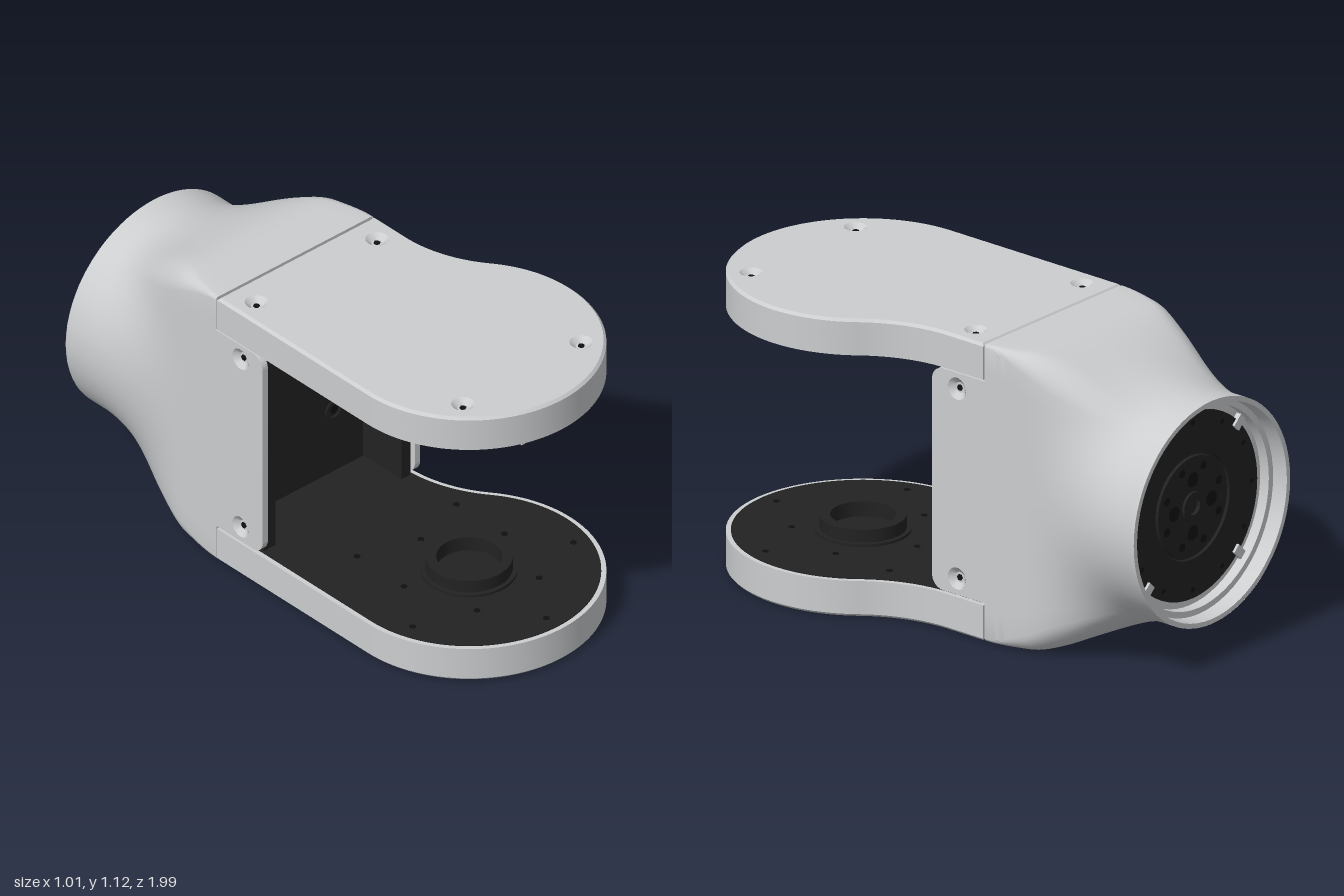
import * as THREE from 'three';
import { toCreasedNormals } from 'three/addons/utils/BufferGeometryUtils.js';

const mat = (name, color, side = THREE.FrontSide) => {
  const m = new THREE.MeshStandardMaterial({ color, side });
  m.name = name;
  return m;
};

export function createModel() {
  const root = new THREE.Group();
  root.name = 'yokeJoint';
  const grey = mat('light grey casing', 0xcbcdcf);
  const greyOpen = mat('light grey open surface', 0xcbcdcf, THREE.DoubleSide);
  const black = mat('black insert', 0x222222, THREE.DoubleSide);
  const hole = mat('deep black hole', 0x101010, THREE.DoubleSide);

  const add = (name, geo, material, x = 0, y = 0, z = 0, parent = root) => {
    const m = new THREE.Mesh(geo, material);
    m.name = name;
    m.position.set(x, y, z);
    parent.add(m);
    return m;
  };
  // box given by its two opposite corners
  const block = (name, material, a, b) => add(name,
    new THREE.BoxGeometry(b[0] - a[0], b[1] - a[1], b[2] - a[2]), material,
    (a[0] + b[0]) / 2, (a[1] + b[1]) / 2, (a[2] + b[2]) / 2);
  const lathe = (pts, seg = 64) => toCreasedNormals(
    new THREE.LatheGeometry(pts.map(p => new THREE.Vector2(...p)), seg), 0.5);
  const circlePath = (x, y, r) => new THREE.Path().absarc(x, y, r, 0, Math.PI * 2, true);
  const extrude = (shape, depth, bevel = 0) => toCreasedNormals(new THREE.ExtrudeGeometry(shape, {
    depth: depth - 2 * bevel, curveSegments: 40, bevelEnabled: bevel > 0,
    bevelSize: bevel, bevelThickness: bevel, bevelOffset: -bevel, bevelSegments: 1,
  }), 0.45);

  // countersunk screw seat, opening along its own +y
  const cupGeo = lathe([[0.041, 0], [0.02, -0.018], [0, -0.018]], 24);
  const dotGeo = new THREE.CylinderGeometry(0.012, 0.012, 0.004, 6);
  const screw = (x, y, z, rx = 0, rz = 0, material = greyOpen) => {
    const g = new THREE.Group();
    g.name = 'screw';
    g.position.set(x, y, z);
    g.rotation.set(rx, 0, rz);
    add('screwSeat', cupGeo, material, 0, 0, 0, g);
    add('screwSocket', dotGeo, hole, 0, -0.016, 0, g);
    root.add(g);
  };

  // arm outline in x and z, optionally inset
  const HUB = [0.02, 0.515];
  const outline = (i = 0) => {
    const s = new THREE.Shape();
    const turn = Math.atan2(-0.615, 0.772);
    s.moveTo(-0.46 + i, -0.266 + i);
    s.lineTo(0.285 - i, -0.266 + i);
    s.lineTo(0.285 - i, -0.1);
    s.absarc(0.792, -0.1, 0.507 + i, Math.PI, turn + Math.PI, true);
    s.absarc(HUB[0], HUB[1], 0.48 - i, turn, Math.PI, false);
    s.closePath();
    return s;
  };
  const armScrews = [[-0.375, -0.155], [0.195, -0.155], [-0.26, 0.79], [0.3, 0.79]];

  // two arms: bevelled outer skin, straight rim, black inner liner
  for (const top of [true, false]) {
    const name = top ? 'upperArm' : 'lowerArm';
    const bevel = 0.01;
    const skin = outline();
    const rim = outline();
    for (const [x, z] of armScrews) {
      skin.holes.push(circlePath(x, z, 0.031));
      rim.holes.push(circlePath(x, z, 0.041));
    }
    const flat = geo => geo.rotateX(Math.PI / 2);
    add(name + 'Skin', flat(extrude(skin, 0.05, bevel)), grey, 0, (top ? 1.12 : 0.05) - bevel, 0);
    add(name + 'Rim', flat(extrude(rim, 0.097)), grey, 0, top ? 1.082 : 0.135, 0);
    add(name + 'Liner', flat(extrude(outline(0.018), 0.006)), black, 0, top ? 0.988 : 0.138, 0);
    for (const [x, z] of armScrews) screw(x, top ? 1.12 : 0, z, top ? 0 : Math.PI);
    // small fixing holes in the liner
    for (let k = 0; k < 10; k++) {
      const a = (k + 0.5) / 10 * Math.PI * 2;
      const r = k % 2 ? 0.25 : 0.4;
      add('linerHole', new THREE.CylinderGeometry(0.012, 0.012, 0.004, 12), hole,
        HUB[0] + r * Math.cos(a), top ? 0.981 : 0.138, HUB[1] + r * Math.sin(a));
    }
  }

  // bearing collar on the lower arm
  add('bearingCollar', lathe([[0.17, 0], [0.17, 0.012], [0.153, 0.012], [0.153, 0.06],
    [0.115, 0.06], [0.115, 0.004], [0, 0.004]]), black, HUB[0], 0.136, HUB[1]);

  // drilled output flange and tab below the upper arm
  const flange = new THREE.Shape().absarc(0, 0, 0.225, 0, Math.PI * 2);
  flange.holes.push(circlePath(0, 0, 0.085));
  for (let k = 0; k < 8; k++) {
    const a = k / 8 * Math.PI * 2;
    flange.holes.push(circlePath(0.155 * Math.cos(a), 0.155 * Math.sin(a), 0.015));
  }
  add('outputFlange', extrude(flange, 0.036).rotateX(Math.PI / 2), grey, HUB[0], 0.985, HUB[1]);
  block('flangeTab', grey, [-0.1, 0.95, 0.7], [0.14, 0.985, 0.93]);
  block('flangeTabLip', grey, [-0.1, 0.935, 0.83], [0.14, 0.952, 0.92]);
  for (const x of [-0.04, 0.08]) {
    add('tabHole', new THREE.CylinderGeometry(0.014, 0.014, 0.004, 12), hole, x, 0.935, 0.875);
  }

  // casing: rounded rectangle flowing into a round mouth
  const CX = -0.0875, CY = 0.56, MOUTH = 0.42;
  const section = r => {
    const pts = [], a = 0.3725, b = 0.56, arc = 6, side = 12;
    const corners = [[1, -1], [1, 1], [-1, 1], [-1, -1]];
    corners.forEach(([sx, sy], c) => {
      const [nx, ny] = corners[(c + 1) % 4];
      const start = (c - 1) * Math.PI / 2;
      for (let k = 0; k <= arc; k++) {
        const t = start + k / arc * Math.PI / 2;
        pts.push([sx * (a - r) + r * Math.cos(t), sy * (b - r) + r * Math.sin(t)]);
      }
      const p = pts[pts.length - 1];
      const t = start + Math.PI / 2;
      const q = [nx * (a - r) + r * Math.cos(t), ny * (b - r) + r * Math.sin(t)];
      for (let k = 1; k < side; k++) {
        pts.push([p[0] + (q[0] - p[0]) * k / side, p[1] + (q[1] - p[1]) * k / side]);
      }
    });
    return pts;
  };
  const pos = [], index = [], rows = 36;
  let n = 0;
  for (let i = 0; i <= rows; i++) {
    const z = -0.272 - 0.728 * i / rows;
    const s = THREE.MathUtils.smoothstep(-z, 0.44, 0.92);
    const ring = section(0.015 + 0.09 * THREE.MathUtils.smoothstep(-z, 0.27, 0.6));
    n = ring.length;
    ring.forEach(([x, y], j) => {
      const k = MOUTH / Math.hypot(x, y);
      pos.push(CX + x * (1 - s + s * k), CY + 0.005 * s + y * (1 - s + s * k), z);
      if (i < rows) {
        const a = i * n + j, b = i * n + (j + 1) % n;
        index.push(a, a + n, b, b, a + n, b + n);
      }
    });
  }
  const casing = new THREE.BufferGeometry();
  casing.setAttribute('position', new THREE.Float32BufferAttribute(pos, 3));
  casing.setIndex(index);
  add('casing', toCreasedNormals(casing, 0.6), greyOpen);
  block('casingFront', grey, [-0.455, 0.005, -0.29], [0.28, 1.115, -0.274]);

  // side flaps with rounded front corners
  const flap = new THREE.Shape();
  flap.moveTo(-0.28, 0.145);
  flap.lineTo(-0.08, 0.145);
  flap.absarc(-0.08, 0.195, 0.05, -Math.PI / 2, 0, false);
  flap.absarc(-0.08, 0.93, 0.05, 0, Math.PI / 2, false);
  flap.lineTo(-0.28, 0.98);
  flap.closePath();
  for (const y of [0.205, 0.92]) flap.holes.push(circlePath(-0.145, y, 0.041));
  for (const side of [1, -1]) {
    const outer = side > 0 ? 0.285 : -0.46;
    const geo = extrude(flap, 0.025).rotateY(-Math.PI / 2);
    add(side > 0 ? 'leftFlap' : 'rightFlap', geo, grey, side > 0 ? 0.285 : -0.435, 0, 0);
    for (const y of [0.205, 0.92]) screw(outer, y, -0.145, 0, -side * Math.PI / 2);
  }

  // black channel bracket between the flaps
  block('bracketBack', black, [-0.434, 0.136, -0.273], [0.259, 0.986, -0.25]);
  block('bracketRightWall', black, [-0.434, 0.14, -0.26], [-0.38, 0.984, -0.05]);
  block('bracketLeftWall', black, [0.215, 0.14, -0.26], [0.259, 0.984, -0.05]);
  for (const x of [-0.25, 0.075]) for (const y of [0.4, 0.72]) {
    add('bracketBoss', new THREE.TorusGeometry(0.034, 0.006, 8, 24), black, x, y, -0.25);
    add('bracketSocket', new THREE.CircleGeometry(0.018, 6), hole, x, y, -0.247);
  }

  // round mouth at the rear with recessed drive disc; local +y points backwards
  const mouth = new THREE.Group();
  mouth.name = 'rearMouth';
  mouth.position.set(CX, CY + 0.005, -1);
  mouth.rotation.x = -Math.PI / 2;
  root.add(mouth);
  add('mouthLining', lathe([[0.42, 0], [0.402, 0], [0.398, -0.06], [0.375, -0.06],
    [0.375, -0.1], [0.33, -0.1]]), greyOpen, 0, 0, 0, mouth);
  add('driveDisc', lathe([[0.348, -0.11], [0.348, -0.09], [0.2, -0.09], [0.197, -0.1],
    [0.187, -0.1], [0.184, -0.09], [0.055, -0.09], [0.055, -0.08], [0.03, -0.08],
    [0.03, -0.095], [0, -0.095]]), black, 0, 0, 0, mouth);
  const discHoles = (count, radius, size, offset = 0) => {
    for (let k = 0; k < count; k++) {
      const a = (k + offset) / count * Math.PI * 2;
      add('discHole', new THREE.CylinderGeometry(size, size, 0.004, 16), hole,
        radius * Math.cos(a), -0.0895, radius * Math.sin(a), mouth);
    }
  };
  discHoles(12, 0.315, 0.01);
  discHoles(8, 0.15, 0.016, 0.5);
  discHoles(4, 0.1, 0.028);
  for (let k = 0; k < 4; k++) {
    const pivot = new THREE.Group();
    pivot.name = 'discClip';
    pivot.rotation.y = (k + 0.5) * Math.PI / 2;
    mouth.add(pivot);
    add('clip', new THREE.BoxGeometry(0.05, 0.02, 0.035), grey, 0.345, -0.09, 0, pivot);
  }
  return root;
}
